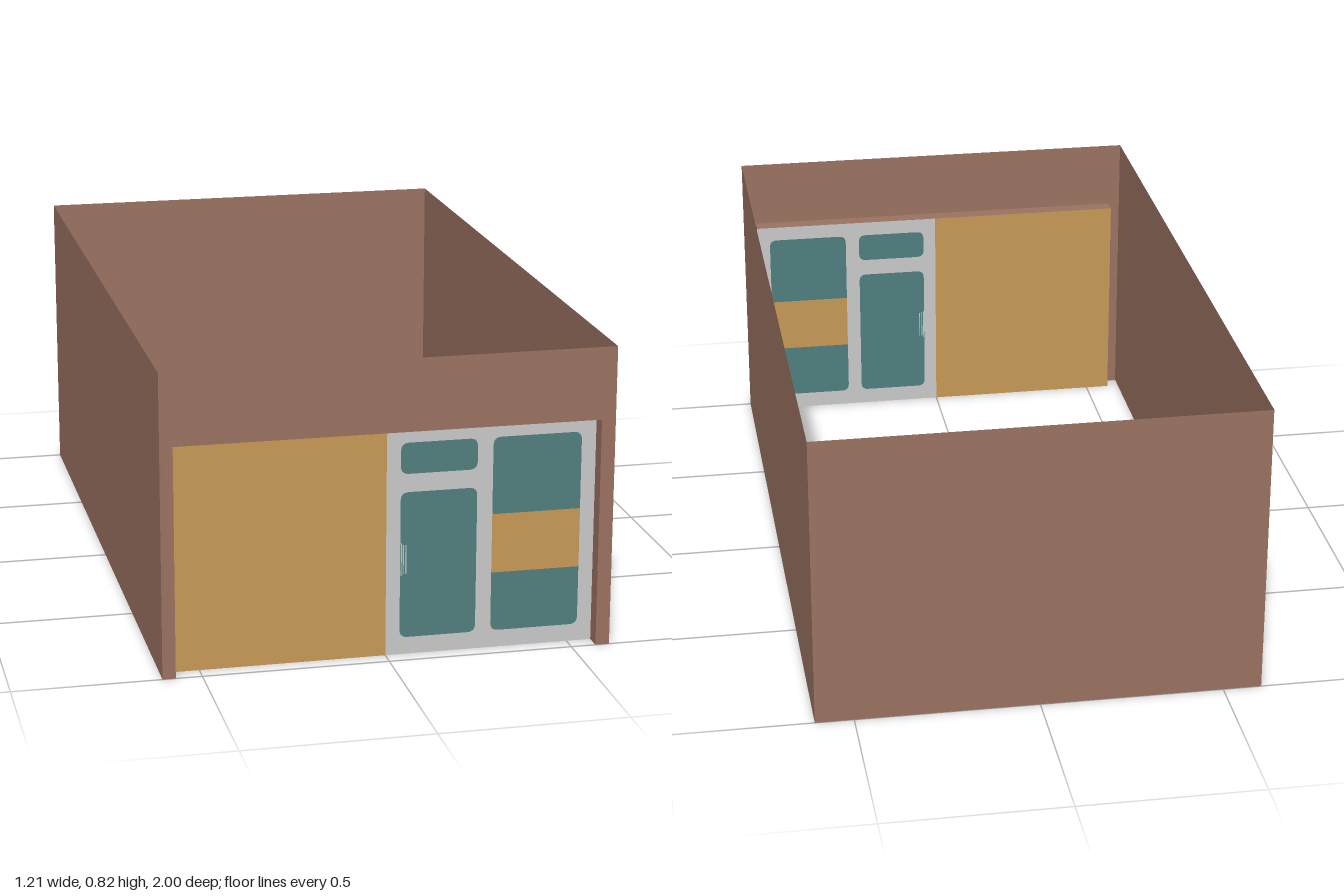
import * as THREE from 'three';

const W = 0.605, H = 0.825, D = 1;                 // half width, height, half depth
const X0 = -0.57, X1 = 0.567, TOP = 0.628;         // front opening
const ZP = 0.955;                                  // plane of the recessed shopfront

const material = (name, color) =>
  new THREE.MeshStandardMaterial({ name, color, side: THREE.DoubleSide });

// Rectangle path with separate corner radii at the bottom and the top
function trace(path, x0, x1, y0, y1, rb = 0, rt = rb) {
  path.moveTo(x0 + rb, y0);
  path.lineTo(x1 - rb, y0);
  if (rb) path.quadraticCurveTo(x1, y0, x1, y0 + rb);
  path.lineTo(x1, y1 - rt);
  if (rt) path.quadraticCurveTo(x1, y1, x1 - rt, y1);
  path.lineTo(x0 + rt, y1);
  if (rt) path.quadraticCurveTo(x0, y1, x0, y1 - rt);
  path.lineTo(x0, y0 + rb);
  if (rb) path.quadraticCurveTo(x0, y0, x0 + rb, y0);
  return path;
}

export function createModel() {
  const model = new THREE.Group();
  model.name = 'shopUnit';
  const brown = material('brown wall', 0x9b7261);
  const ochre = material('ochre panel', 0xc89a55);
  const grey = material('grey frame', 0xc9cac9);
  const teal = material('teal glass', 0x517f7f);

  const add = (name, geometry, mat, x = 0, y = 0, z = 0) => {
    const mesh = new THREE.Mesh(geometry, mat);
    mesh.name = name;
    mesh.position.set(x, y, z);
    model.add(mesh);
    return mesh;
  };
  const sheet = (name, mat, ...rect) =>
    add(name, new THREE.ShapeGeometry(trace(new THREE.Shape(), ...rect), 6), mat, 0, 0, ZP);

  // Side and back walls, open at the top and bottom
  for (const [name, s] of [['leftWall', 1], ['rightWall', -1]]) {
    add(name, new THREE.PlaneGeometry(2 * D, H), brown, s * W, H / 2, 0).rotation.y = s * Math.PI / 2;
  }
  add('backWall', new THREE.PlaneGeometry(2 * W, H), brown, 0, H / 2, -D).rotation.y = Math.PI;

  // Front wall around the opening
  const front = new THREE.Shape([
    [-W, 0], [X0, 0], [X0, TOP], [X1, TOP], [X1, 0], [W, 0], [W, H], [-W, H],
  ].map(([x, y]) => new THREE.Vector2(x, y)));
  add('frontWall', new THREE.ShapeGeometry(front), brown, 0, 0, D);

  // Reveals between the front wall and the shopfront
  const depth = D - ZP, zMid = (D + ZP) / 2;
  add('rightReveal', new THREE.PlaneGeometry(depth, TOP), brown, X0, TOP / 2, zMid).rotation.y = Math.PI / 2;
  add('leftReveal', new THREE.PlaneGeometry(depth, TOP), brown, X1, TOP / 2, zMid).rotation.y = -Math.PI / 2;
  add('topReveal', new THREE.PlaneGeometry(X1 - X0, depth), brown, (X0 + X1) / 2, TOP, zMid).rotation.x = Math.PI / 2;

  // Solid panel beside the door
  sheet('sidePanel', ochre, X0, 0, 0, TOP);

  // Frame with door, transom and window openings
  const r = 0.022;
  const door = [0.038, 0.245, 0.047, 0.45, r];
  const transom = [0.038, 0.245, 0.5, 0.585, r];
  const frame = trace(new THREE.Shape(), 0, X1, 0, TOP);
  for (const rect of [door, transom, [0.287, 0.528, 0.047, 0.585, r]]) {
    frame.holes.push(trace(new THREE.Path(), ...rect));
  }
  add('shopfrontFrame', new THREE.ShapeGeometry(frame, 6), grey, 0, 0, ZP);

  // Glass and the poster band across the window
  sheet('doorGlass', teal, ...door);
  sheet('transomGlass', teal, ...transom);
  sheet('lowerWindowGlass', teal, 0.287, 0.528, 0.047, 0.21, r, 0);
  sheet('windowPoster', ochre, 0.287, 0.528, 0.21, 0.373);
  sheet('upperWindowGlass', teal, 0.287, 0.528, 0.373, 0.585, 0, r);

  // Door handle drawn as thin strips
  for (const [x, y0, y1] of [[0.0405, 0.22, 0.31], [0.046, 0.225, 0.305], [0.053, 0.225, 0.305]]) {
    add('doorHandle', new THREE.BoxGeometry(0.0025, y1 - y0, 0.006), grey, x, (y0 + y1) / 2, ZP);
  }
  return model;
}
